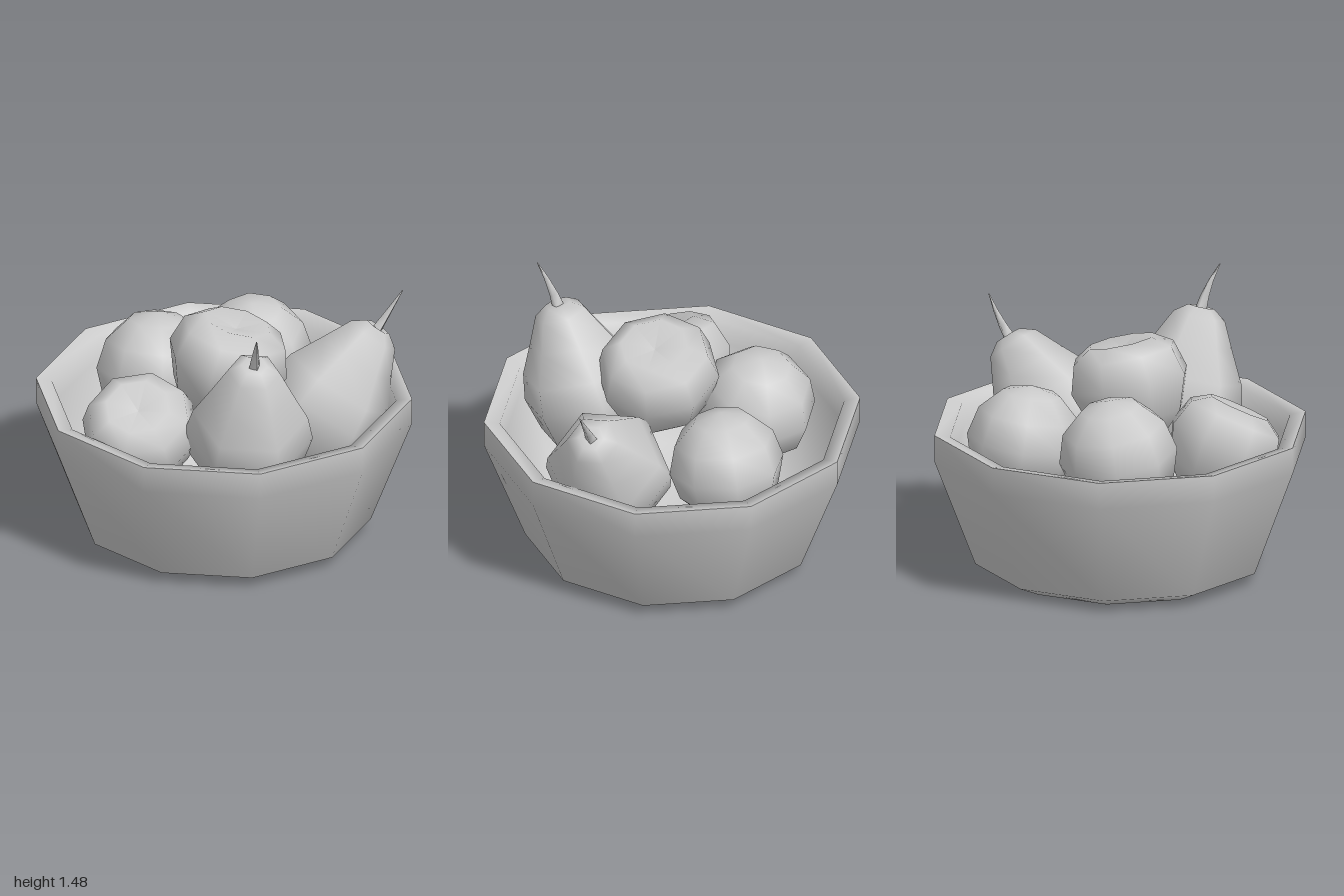
import * as THREE from 'three';

const material = new THREE.MeshStandardMaterial({ color: 0xcccccc });

// Smooth-shaded turned form from [radius, height] pairs
function turned(name, profile, sides, phiStart = 0) {
  const points = profile.map(([r, y]) => new THREE.Vector2(r, y));
  const mesh = new THREE.Mesh(new THREE.LatheGeometry(points, sides, phiStart), material);
  mesh.name = name;
  return mesh;
}

// Place an object and lean its own y axis along a direction
function place(object, position, axis) {
  object.position.set(...position);
  object.quaternion.setFromUnitVectors(
    new THREE.Vector3(0, 1, 0), new THREE.Vector3(...axis).normalize());
  return object;
}

const APPLE = [[0, -0.2], [0.13, -0.27], [0.26, -0.14], [0.33, 0.05],
  [0.285, 0.2], [0.18, 0.265], [0, 0.225]];
const PEAR = [[0, -0.28], [0.17, -0.28], [0.3, -0.14], [0.34, 0.04],
  [0.305, 0.19], [0.215, 0.36], [0.14, 0.51], [0.07, 0.56], [0, 0.55]];

// Four-sided pointed stem, bent towards its tip
function createStem(bendX, bendZ) {
  const length = 0.27;
  const geometry = new THREE.CylinderGeometry(0.003, 0.035, length, 4, 3);
  geometry.translate(0, length / 2, 0);
  const p = geometry.attributes.position;
  for (let i = 0; i < p.count; i++) {
    const t = (p.getY(i) / length) ** 2;
    p.setX(i, p.getX(i) + bendX * t);
    p.setZ(i, p.getZ(i) + bendZ * t);
  }
  geometry.computeVertexNormals();
  const stem = new THREE.Mesh(geometry, material);
  stem.name = 'stem';
  stem.position.y = 0.53;
  return stem;
}

function createPear(name, bendX, bendZ) {
  const pear = new THREE.Group();
  pear.name = name;
  pear.add(turned('pearBody', PEAR, 6), createStem(bendX, bendZ));
  return pear;
}

// Eight-sided ball with flats facing front and sides
function createRoundFruit(name, radius) {
  const geometry = new THREE.SphereGeometry(radius, 8, 6).rotateY(Math.PI / 8);
  const mesh = new THREE.Mesh(geometry, material);
  mesh.name = name;
  return mesh;
}

export function createModel() {
  const model = new THREE.Group();
  model.name = 'fruitBowl';

  // Ten-sided bowl: outer wall, then a rim that rolls softly into the inside
  model.add(
    turned('bowlOutside', [[0, 0], [0.64, 0], [0.78, 0.065], [1, 0.65], [1, 0.795]],
      10, Math.PI / 2),
    turned('bowlInside', [[1, 0.795], [0.915, 0.78], [0.9, 0.66], [0.7, 0.13], [0, 0.1]],
      10, Math.PI / 2));

  // Round fruit at the back
  model.add(
    place(createRoundFruit('roundFruitLeft', 0.315), [-0.18, 0.77, -0.42], [0.12, 1, -0.12]),
    place(createRoundFruit('roundFruitRight', 0.307), [0.385, 0.755, -0.37], [-0.1, 1, 0.12]));

  // Dimpled apples: one on top of the heap, one leaning outwards
  const sideApple = turned('sideApple', APPLE, 8);
  sideApple.scale.setScalar(0.96);
  model.add(
    place(turned('topApple', APPLE, 8), [-0.03, 0.965, 0.075], [0.25, 1, 0.06]),
    place(sideApple, [-0.545, 0.69, 0.08], [-0.25, 0.8, 0.32]));

  // Pears leaning on the rim
  model.add(
    place(createPear('frontPear', -0.03, 0.05), [-0.12, 0.74, 0.48], [-0.06, 0.56, 0.18]),
    place(createPear('sidePear', -0.02, 0.02), [0.44, 0.645, 0.245], [0.33, 0.44, 0.035]));

  return model;
}
